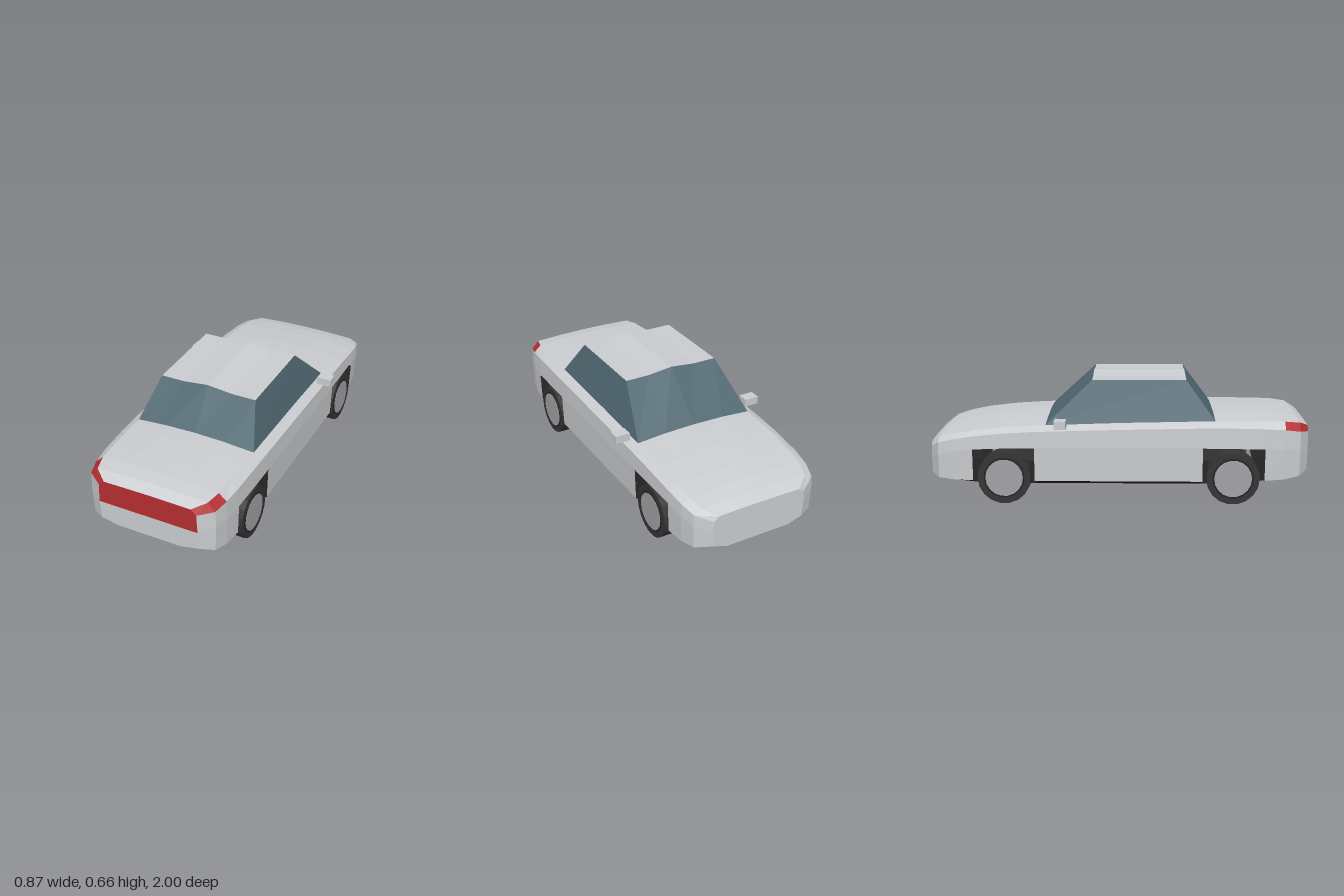
import * as THREE from 'three';

const mat = (name, color, side = THREE.FrontSide) => {
  const m = new THREE.MeshStandardMaterial({ color, side });
  m.name = name;
  return m;
};

// Collects quads and turns them into one faceted mesh
class Panel {
  constructor() { this.v = []; }
  quad(a, b, c, d) { this.v.push(...a, ...b, ...c, ...a, ...c, ...d); }
  // Same quad on both sides of the car
  pair(a, b, c, d) {
    const m = ([x, y, z]) => [-x, y, z];
    this.quad(a, b, c, d);
    this.quad(m(d), m(c), m(b), m(a));
  }
  mesh(name, material) {
    const g = new THREE.BufferGeometry();
    g.setAttribute('position', new THREE.Float32BufferAttribute(this.v, 3));
    g.computeVertexNormals();
    const mesh = new THREE.Mesh(g, material);
    mesh.name = name;
    return mesh;
  }
}

// Body sections: z, belly x, belly y, side x, sill y, side middle y,
// side top y, shoulder x, shoulder y, crown y
const SECTIONS = [
  [1, .175, .15, .275, .17, .27, .375, .24, .402, .405],
  [.95, .22, .125, .35, .15, .29, .388, .305, .428, .437],
  [.87, .235, .11, .37, .135, .3, .4, .325, .437, .45],
  [.765, .24, .095, .38, .13, .3, .407, .33, .439, .455],
  [.6, .24, .085, .385, .125, .303, .411, .335, .44, .458],
  [.44, .24, .075, .387, .125, .305, .411, .335, .438, .454],
  [0, .24, .075, .388, .125, .303, .402, .335, .428, .443],
  [-.44, .24, .075, .387, .125, .303, .389, .335, .413, .429],
  [-.6, .24, .075, .385, .125, .3, .38, .335, .403, .418],
  [-.765, .24, .08, .38, .125, .293, .362, .33, .385, .397],
  [-.87, .235, .09, .37, .127, .28, .344, .32, .365, .377],
  [-.95, .22, .1, .348, .132, .26, .32, .3, .342, .352],
  [-1, .18, .115, .265, .14, .22, .285, .235, .308, .312],
];

const sectionPoints = ([z, bx, by, w, y0, ym, y2, hx, hy, cy]) => [
  [bx, by, z], [w - .006, y0, z], [w, ym, z], [w - .004, y2, z],
  [hx, hy, z], [hx / 2, hy + .75 * (cy - hy), z], [0, cy, z],
];

export function createModel() {
  const paint = mat('silver paint', 0xcacccf, THREE.DoubleSide);
  const dark = mat('black underside', 0x222222, THREE.DoubleSide);
  const red = mat('red lamp', 0xb52e30, THREE.DoubleSide);
  const glass = mat('tinted glass', 0x506872, THREE.DoubleSide);
  const rubber = mat('tyre rubber', 0x343434);
  const metal = mat('wheel metal', 0xa2a2a6);
  const car = new THREE.Group();
  car.name = 'car';

  // Hollow body shell, with the wheel openings left out
  const shell = new Panel(), under = new Panel(), lamps = new Panel();
  const flip = ([x, y, z]) => [-x, y, z];
  const rings = SECTIONS.map(sectionPoints);
  for (let i = 0; i < rings.length - 1; i++) {
    const p = rings[i], q = rings[i + 1];
    const middle = Math.abs(p[0][2] + q[0][2]) / 2;
    const opening = middle > .44 && middle < .765;
    under.quad(flip(p[0]), flip(q[0]), q[0], p[0]);
    for (let j = 0; j < 6; j++) {
      if (opening && j < 2) continue;
      const part = j === 0 ? under : j === 3 && i < 2 ? lamps : shell;
      part.pair(p[j], q[j], q[j + 1], p[j + 1]);
    }
  }
  // End faces: the tail has a red band above its middle
  const tail = rings[0], nose = rings[rings.length - 1];
  for (let j = 0; j < 6; j++) {
    (j < 2 ? shell : lamps).quad(flip(tail[j]), tail[j], tail[j + 1], flip(tail[j + 1]));
    shell.quad(nose[j], flip(nose[j]), flip(nose[j + 1]), nose[j + 1]);
  }
  car.add(shell.mesh('bodyShell', paint), under.mesh('underside', dark), lamps.mesh('tailLamps', red));

  // Cabin: crossbars of five points from side to side
  const bar = (w, y, crown, z) => [-1, -.52, 0, .52, 1].map((t, k) => [t * w, y + crown[k], z]);
  const flatCrown = [0, 0, .015, 0, 0], baseCrown = [0, .012, .016, .012, 0];
  const rearBase = bar(.335, .437, baseCrown, .507), rearTop = bar(.27, .645, flatCrown, .355);
  const frontTop = bar(.27, .645, flatCrown, -.14), frontBase = bar(.335, .415, baseCrown, -.383);
  const windows = new Panel(), roof = new Panel();
  for (let k = 0; k < 4; k++) {
    windows.quad(rearBase[k], rearBase[k + 1], rearTop[k + 1], rearTop[k]);
    roof.quad(rearTop[k], rearTop[k + 1], frontTop[k + 1], frontTop[k]);
    windows.quad(frontTop[k], frontTop[k + 1], frontBase[k + 1], frontBase[k]);
  }
  windows.pair(rearBase[4], frontBase[4], frontTop[4], rearTop[4]);
  car.add(windows.mesh('windows', glass), roof.mesh('roof', paint));

  // Door mirrors and wheels
  for (const s of [-1, 1]) {
    const mirror = new THREE.Mesh(new THREE.BoxGeometry(.08, .042, .06), paint);
    mirror.name = 'doorMirror';
    mirror.position.set(s * .395, .433, -.302);
    car.add(mirror);
    for (const z of [-.6, .6]) {
      const wheel = new THREE.Group();
      wheel.name = 'wheel';
      const add = (name, radius, width, x, material) => {
        const g = new THREE.CylinderGeometry(radius, radius, width, 18).toNonIndexed();
        g.computeVertexNormals();
        const m = new THREE.Mesh(g, material);
        m.name = name;
        m.rotation.z = Math.PI / 2;
        m.position.x = x;
        wheel.add(m);
      };
      add('tyre', .14, .09, 0, rubber);
      add('rimEdge', .108, .004, s * .045, dark);
      add('hubDisc', .099, .008, s * .045, metal);
      wheel.position.set(s * .337, .142, z);
      car.add(wheel);
    }
  }
  return car;
}
